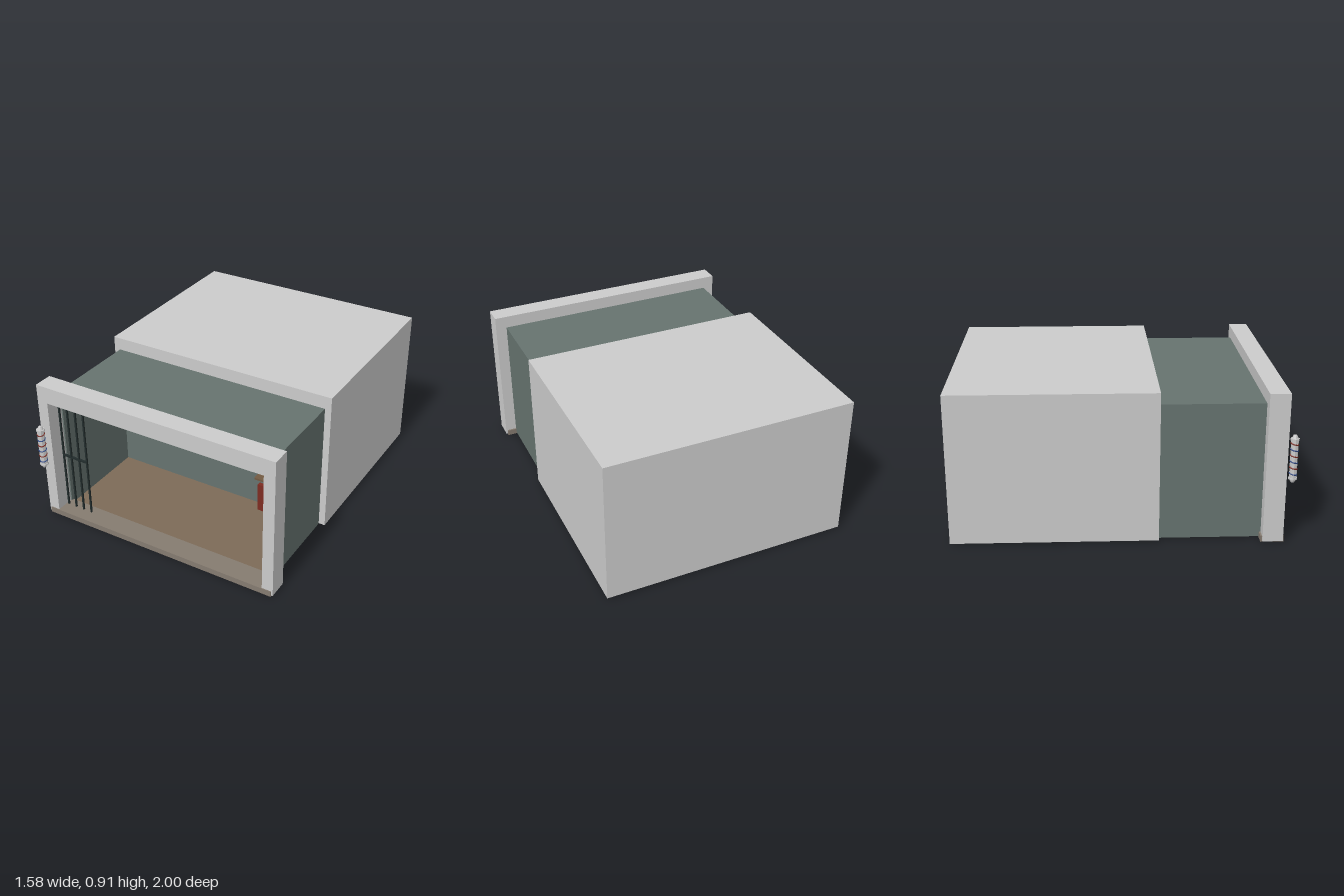
import * as THREE from 'three';

const mat = (color) => new THREE.MeshStandardMaterial({ color, flatShading: true });
const grey = mat(0xcccccc), wall = mat(0x66736f), wood = mat(0x7c6a57), sillMat = mat(0x857b70);
const iron = mat(0x222c2c), red = mat(0x7d2b21), blue = mat(0x2c4684), steel = mat(0x8a9494);
const mirrorMat = mat(0xb2bfc4), shelfMat = mat(0x735a42);

function add(parent, name, geometry, material, x = 0, y = 0, z = 0) {
  const mesh = new THREE.Mesh(geometry, material);
  mesh.name = name;
  mesh.position.set(x, y, z);
  parent.add(mesh);
  return mesh;
}

// Box given by its lower and upper limits on each axis
function box(parent, name, material, [x0, x1], [y0, y1], [z0, z1]) {
  return add(parent, name, new THREE.BoxGeometry(x1 - x0, y1 - y0, z1 - z0), material,
    (x0 + x1) / 2, (y0 + y1) / 2, (z0 + z1) / 2);
}

function group(parent, name) {
  const g = new THREE.Group();
  g.name = name;
  parent.add(g);
  return g;
}

export function createModel() {
  const model = new THREE.Group();
  model.name = 'barberShop';

  // Solid rear block
  box(model, 'rearBlock', grey, [-0.76, 0.76], [0.01, 0.91], [-1, 0.21]);

  // Shop room, open towards the front
  const room = group(model, 'room');
  for (const s of [-1, 1]) {
    box(room, s < 0 ? 'rightWall' : 'leftWall', wall, [s * 0.715 - 0.005, s * 0.715 + 0.005], [0.007, 0.83], [0.21, 0.815]);
  }
  box(room, 'backWall', wall, [-0.71, 0.71], [0.01, 0.82], [0.205, 0.215]);
  box(room, 'ceiling', wall, [-0.71, 0.71], [0.82, 0.83], [0.21, 0.815]);
  box(room, 'floor', wood, [-0.715, 0.715], [0.005, 0.015], [0.21, 0.815]);

  // Shop front: two pillars, lintel and sill
  const front = group(model, 'shopFront');
  box(front, 'rightPillar', grey, [-0.79, -0.72], [0.007, 0.8], [0.81, 0.93]);
  box(front, 'leftPillar', grey, [0.72, 0.79], [0.007, 0.8], [0.81, 0.93]);
  box(front, 'lintel', grey, [-0.79, 0.79], [0.8, 0.907], [0.81, 0.93]);
  box(front, 'sill', sillMat, [-0.78, 0.78], [0, 0.036], [0.8, 0.935]);

  // Barred door at one end of the opening
  const door = group(model, 'barredDoor');
  for (let i = 0; i < 4; i++) {
    const x = -0.705 + i * 0.0583;
    box(door, 'doorBar', iron, [x - 0.005, x + 0.005], [0.036, 0.8], [0.846, 0.856]);
  }
  for (const y of [0.405, 0.775]) {
    box(door, 'doorRail', iron, [-0.705, -0.53], [y - 0.006, y + 0.006], [0.845, 0.857]);
  }

  // Mirror with shelf on the back wall
  box(model, 'mirror', mirrorMat, [0.32, 0.635], [0.245, 0.588], [0.215, 0.227]);
  box(model, 'shelf', shelfMat, [0.303, 0.648], [0.232, 0.245], [0.215, 0.28]);

  // Chair facing the mirror
  const chair = group(model, 'chair');
  box(chair, 'chairSeat', red, [0.41, 0.54], [0.14, 0.17], [0.3, 0.43]);
  box(chair, 'chairBack', red, [0.41, 0.54], [0.17, 0.325], [0.405, 0.43]);
  add(chair, 'chairPost', new THREE.CylinderGeometry(0.01, 0.01, 0.13, 8), steel, 0.475, 0.078, 0.365);
  add(chair, 'chairBase', new THREE.CylinderGeometry(0.045, 0.045, 0.012, 12), steel, 0.475, 0.02, 0.365);

  // Striped pole with tapered ends
  const pole = group(model, 'stripedPole');
  pole.position.set(-0.76, 0.51, 0.97);
  const profile = [[0, -0.148], [0.011, -0.143], [0.022, -0.118], [0.022, 0.118], [0.011, 0.143], [0, 0.148]];
  add(pole, 'poleBody', new THREE.LatheGeometry(profile.map(([r, y]) => new THREE.Vector2(r, y)), 8), grey);
  for (const s of [-1, 1]) {
    add(pole, 'poleCollar', new THREE.CylinderGeometry(0.026, 0.026, 0.012, 8), grey, 0, s * 0.118, 0);
  }
  for (let i = 0; i < 6; i++) {
    const ring = add(pole, 'poleStripe', new THREE.TorusGeometry(0.022, 0.004, 5, 12), i % 2 ? red : blue, 0, -0.091 + i * 0.0364, 0);
    ring.rotation.x = Math.PI / 2 + 0.25;
  }
  return model;
}
